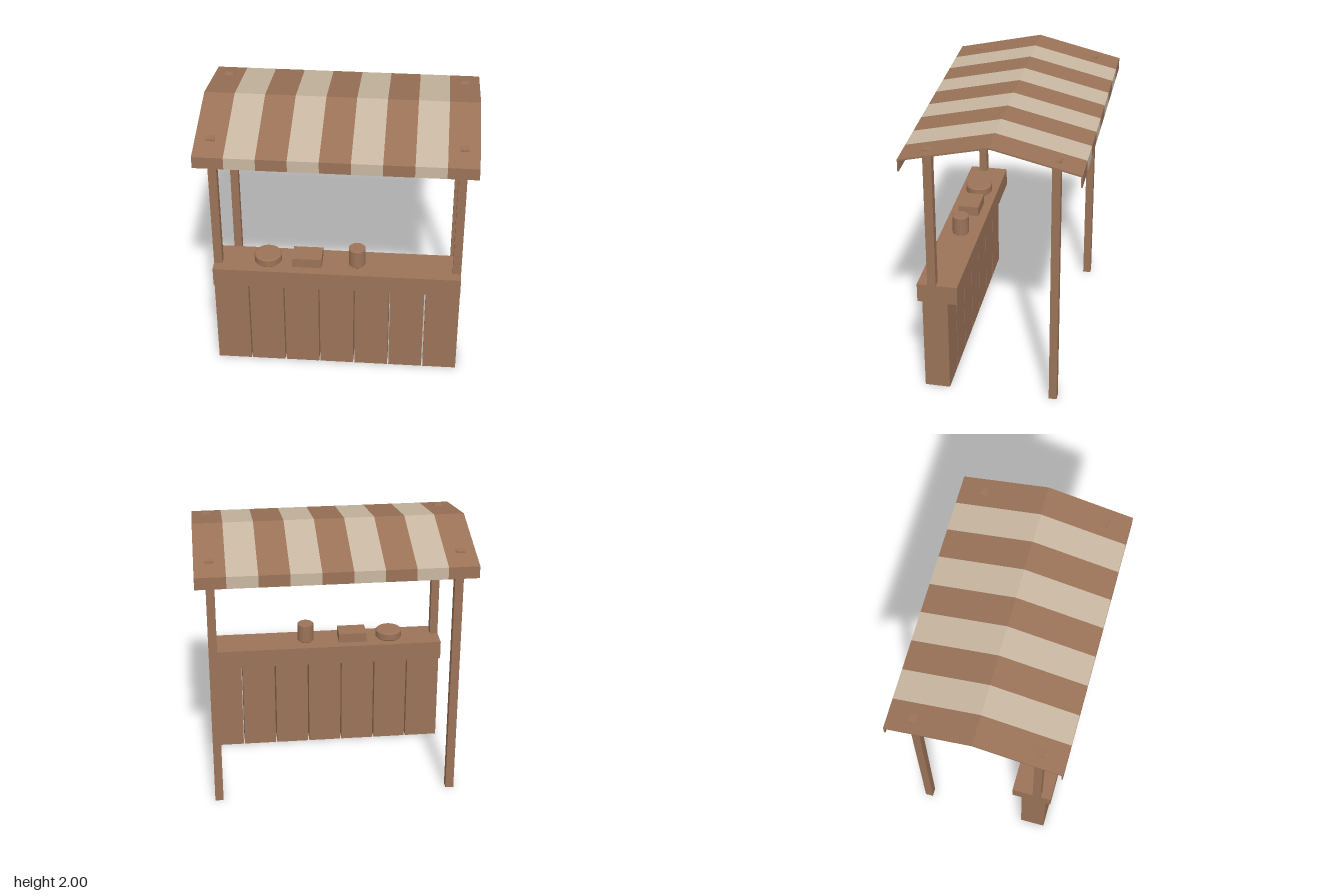
import * as THREE from 'three';

const wood = new THREE.MeshStandardMaterial({ color: 0x9b7358 });
wood.name = 'brown wood';
const cream = new THREE.MeshStandardMaterial({ color: 0xc9b8a2 });
cream.name = 'cream cloth';

function add(parent, name, geometry, material, x = 0, y = 0, z = 0) {
  const mesh = new THREE.Mesh(geometry, material);
  mesh.name = name;
  mesh.position.set(x, y, z);
  parent.add(mesh);
  return mesh;
}

// Box given by its lower and upper limits on each axis
function block(parent, name, [x0, x1], [y0, y1], [z0, z1]) {
  return add(parent, name, new THREE.BoxGeometry(x1 - x0, y1 - y0, z1 - z0), wood,
    (x0 + x1) / 2, (y0 + y1) / 2, (z0 + z1) / 2);
}

// Round ware with softly bevelled rims
function roundWare(parent, name, radius, height, bevel, x, y, z) {
  const points = [new THREE.Vector2(0, 0), new THREE.Vector2(radius - bevel, 0)];
  points.push(new THREE.Vector2(radius, bevel), new THREE.Vector2(radius, height - bevel));
  points.push(new THREE.Vector2(radius - bevel, height), new THREE.Vector2(0, height));
  return add(parent, name, new THREE.LatheGeometry(points, 32), wood, x, y, z);
}

export function createModel() {
  const stall = new THREE.Group();
  stall.name = 'marketStall';

  // Counter: seven upright planks with narrow gaps, and a thick top
  const counter = new THREE.Group();
  counter.name = 'counter';
  stall.add(counter);
  const planks = 7, gap = 0.01, halfWidth = 0.885;
  const pitch = (2 * halfWidth + gap) / planks;
  for (let i = 0; i < planks; i++) {
    const x = -halfWidth + i * pitch;
    block(counter, 'counterPlank', [x, x + pitch - gap], [0, 0.715], [0.32, 0.5]);
  }
  block(counter, 'counterTop', [-halfWidth, halfWidth], [0.715, 0.855], [0.25, 0.535]);

  // Posts: front pair stands on the counter, back pair on the ground
  for (const side of [-1, 1]) {
    const x = side * 0.855;
    block(stall, 'frontPost', [x - 0.03, x + 0.03], [0.83, 1.905], [0.4, 0.46]);
    block(stall, 'backPost', [x - 0.03, x + 0.03], [0, 1.905], [-0.457, -0.4]);
  }
  block(stall, 'ridgeBeam', [-0.885, 0.885], [1.945, 1.98], [-0.025, 0.025]);

  // Awning: gabled cross-section with hanging valances, one extrusion per stripe
  const awning = new THREE.Group();
  awning.name = 'awning';
  stall.add(awning);
  const profile = new THREE.Shape([
    [0, 2], [-0.61, 1.857], [-0.61, 1.77], [-0.6, 1.77], [-0.6, 1.847],
    [0, 1.988], [0.6, 1.847], [0.6, 1.77], [0.61, 1.77], [0.61, 1.857],
  ].map(([z, y]) => new THREE.Vector2(z, y)));
  const stripes = 9, stripeWidth = 1.92 / stripes;
  const stripe = new THREE.ExtrudeGeometry(profile, { depth: stripeWidth, bevelEnabled: false });
  stripe.rotateY(Math.PI / 2);
  for (let i = 0; i < stripes; i++) {
    add(awning, 'awningStripe', stripe, i % 2 ? cream : wood, -0.96 + i * stripeWidth);
  }

  // Wares on the counter
  const wares = new THREE.Group();
  wares.name = 'wares';
  stall.add(wares);
  roundWare(wares, 'bowl', 0.098, 0.065, 0.008, -0.5, 0.855, 0.392);
  block(wares, 'smallBox', [-0.32, -0.11], [0.855, 0.927], [0.315, 0.465]);
  roundWare(wares, 'jar', 0.06, 0.145, 0.005, 0.14, 0.855, 0.392);

  // Crisp rims on the round wares
  wares.traverse((o) => {
    if (o.isMesh && o.geometry.type === 'LatheGeometry') o.geometry = creased(o.geometry);
  });
  return stall;
}

// Recompute side normals so flat caps stay flat while the wall stays round
function creased(geometry) {
  const flat = geometry.toNonIndexed();
  const smooth = flat.attributes.normal.clone();
  flat.computeVertexNormals();
  const n = flat.attributes.normal, p = flat.attributes.position;
  for (let i = 0; i < n.count; i++) {
    if (Math.abs(n.getY(i)) > 0.3) continue;
    const r = Math.hypot(p.getX(i), p.getZ(i)) || 1;
    smooth.setXYZ(i, p.getX(i) / r, 0, p.getZ(i) / r);
    n.setXYZ(i, smooth.getX(i), 0, smooth.getZ(i));
  }
  return flat;
}
